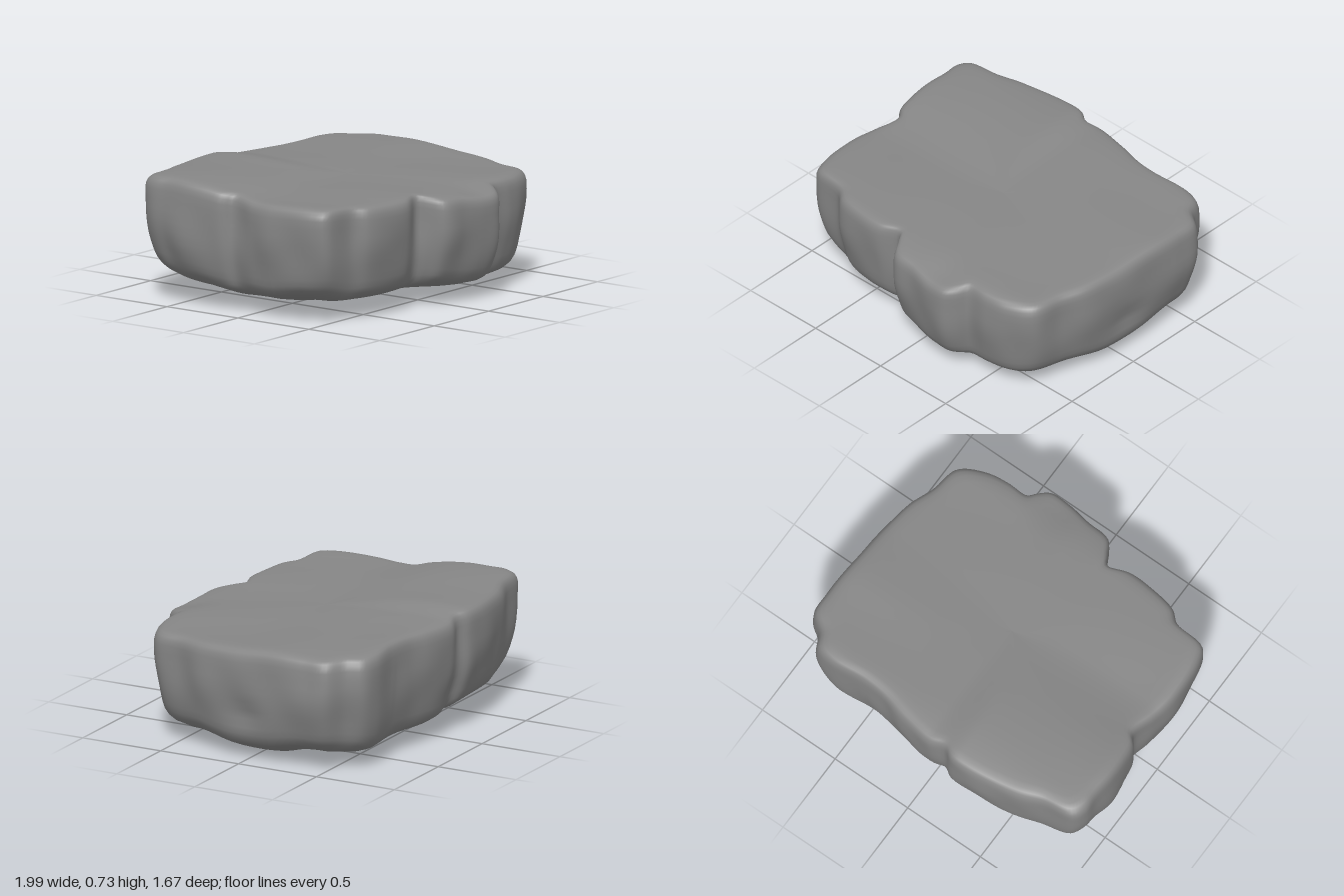
import * as THREE from 'three';

// Plan outline of the slab as [x, z], from the front left corner round to the left side
const OUTLINE = [
  [-0.95, 0.48], [-0.91, 0.56], [-0.72, 0.59], [-0.64, 0.65], [-0.5, 0.68], [-0.33, 0.685],
  [-0.2, 0.645], [-0.16, 0.7], [-0.1, 0.785], [0.05, 0.805], [0.2, 0.83], [0.32, 0.83],
  [0.38, 0.78], [0.42, 0.73], [0.55, 0.73], [0.68, 0.71], [0.83, 0.62], [0.87, 0.45],
  [0.925, 0.3], [0.95, 0.15], [0.97, -0.1], [0.985, -0.4], [0.975, -0.54], [0.88, -0.62],
  [0.83, -0.71], [0.73, -0.74], [0.52, -0.725], [0.36, -0.74], [0.2, -0.78], [0, -0.81],
  [-0.1, -0.79], [-0.17, -0.83], [-0.3, -0.835], [-0.6, -0.79], [-0.75, -0.74],
  [-0.93, -0.71], [-0.968, -0.64], [-0.965, -0.54], [-0.975, -0.4], [-0.965, -0.25],
  [-0.95, -0.16], [-0.91, -0.1], [-0.95, 0.05], [-0.975, 0.2],
];

// Cross-section of the rim from top centre to bottom centre: [inset, height fraction]
const SECTION = [
  [1, 1], [0.8, 1], [0.6, 1], [0.45, 1], [0.32, 1], [0.22, 1], [0.14, 1], [0.09, 1],
  [0.055, 0.996], [0.032, 0.985], [0.016, 0.962], [0.006, 0.925], [0, 0.87], [0, 0.78], [0, 0.68],
  [0.004, 0.58], [0.012, 0.48], [0.024, 0.38], [0.038, 0.29], [0.054, 0.2], [0.072, 0.13],
  [0.098, 0.075], [0.138, 0.035], [0.2, 0.012], [0.28, 0.002], [0.36, 0], [0.45, 0], [0.6, 0],
  [0.8, 0], [1, 0],
];

const step = THREE.MathUtils.smoothstep;
const bump = (a, b, r) => Math.exp(-(a * a + b * b) / (r * r));

// Top face: rises to the back left, with a low ledge along the back half
function topY(x, z) {
  const ledge = 0.026 * (1 - step(x, -0.2, 0.02)) * (1 - step(z, -0.5, 0.1));
  return 0.662 - 0.012 * x - 0.01 * z + ledge + 0.024 * (1 - step(z, -0.3, 0.12))
    - 0.03 * step(z, 0.6, 0.85) - 0.012 * step(-z, 0.6, 0.85)
    - 0.015 * bump(x - 0.22, z - 0.75, 0.13)
    + 0.004 * Math.sin(7 * z + 2 * x) + 0.003 * Math.sin(9 * x - 4 * z);
}

// Underside: deepest right of the middle, rising to the edges
function bottomY(x, z) {
  return 0.025 + 0.04 * (1 - step(x, -0.25, 0.15)) + 0.06 * step(Math.abs(x), 0.65, 0.95)
    + 0.035 * step(Math.abs(z), 0.1, 0.4) + 0.03 * step(Math.abs(z), 0.4, 0.7)
    - 0.01 * bump(x - 0.55, z, 0.35) + 0.02 * bump(x - 0.4, (z + 0.25) * 3, 0.35)
    + 0.005 * Math.sin(8 * x + 3 * z) + 0.005 * Math.sin(9 * z - 2 * x);
}

// Bulges and hollows on the side walls
function wallPush(x, y, z, angle) {
  let push = 0.0045 * (Math.sin(13 * y + 9 * angle) + Math.sin(19 * angle - 9 * y));
  if (x > 0.5) {
    push += 0.012 * bump(y - 0.45, (z + 0.35) * 0.5, 0.17);
    push -= 0.024 * bump((y - 0.27) * 2, z + 0.03, 0.12);
  }
  if (x < -0.5) push += 0.032 * bump(y - 0.34, z + 0.38, 0.17);
  if (z < -0.4) push -= 0.02 * bump((y - 0.22) * 1.5, x + 0.02, 0.14);
  return push;
}

function slabGeometry(count = 300) {
  const curve = new THREE.CatmullRomCurve3(
    OUTLINE.map(([x, z]) => new THREE.Vector3(x, 0, z)), true, 'centripetal');
  const edge = curve.getSpacedPoints(count).slice(0, count);

  // Softened outline used away from the rim
  const soft = edge.map((_, i) => {
    const p = new THREE.Vector3();
    for (let k = -12; k <= 12; k++) p.add(edge[(i + k + count) % count]);
    return p.divideScalar(25);
  });

  const positions = [], index = [];
  SECTION.forEach(([inset, f], r) => {
    for (let i = 0; i < count; i++) {
      const p = edge[i].clone().lerp(soft[i], Math.min(1, inset * 2.5));
      const angle = Math.atan2(p.z, p.x);
      // The ends stand steeper than the long faces near the base
      const ends = f < 0.6 ? 0.45 * Math.cos(angle) ** 2 * (1 - step(inset, 0.1, 0.6)) : 0;
      const scale = 1 - inset * (1 - ends);
      let x = p.x * scale, z = p.z * scale;
      const low = bottomY(x, z);
      const y = low + (topY(x, z) - low) * f;

      const push = Math.sin(Math.PI * f) * wallPush(x, y, z, angle);
      x += Math.cos(angle) * push;
      z += Math.sin(angle) * push;
      positions.push(x, y, z);

      if (r < SECTION.length - 1) {
        const a = r * count + i, b = r * count + (i + 1) % count;
        index.push(a, a + count, b, b, a + count, b + count);
      }
    }
  });

  const geometry = new THREE.BufferGeometry();
  geometry.setAttribute('position', new THREE.Float32BufferAttribute(positions, 3));
  geometry.setIndex(index);
  geometry.computeBoundingBox();
  geometry.translate(0, -geometry.boundingBox.min.y, 0);
  geometry.computeVertexNormals();
  return geometry;
}

export function createModel() {
  const group = new THREE.Group();
  group.name = 'rock';
  const slab = new THREE.Mesh(slabGeometry(), new THREE.MeshStandardMaterial({ color: 0x868686 }));
  slab.name = 'rockSlab';
  group.add(slab);
  return group;
}
